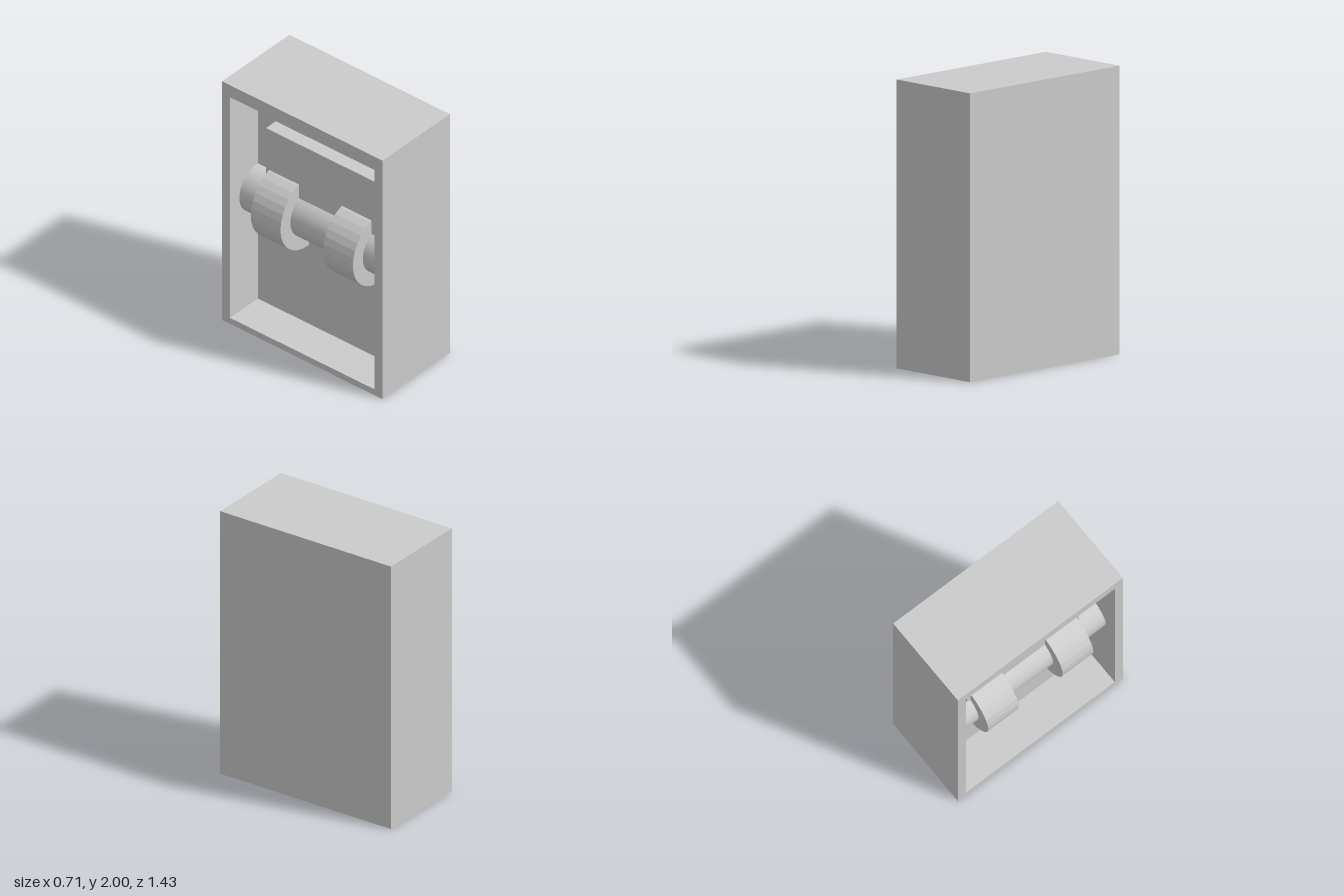
import * as THREE from 'three';

export function createModel() {
  const model = new THREE.Group();
  const smooth = new THREE.MeshStandardMaterial({ color: 0xcccccc });
  const faceted = new THREE.MeshStandardMaterial({ color: 0xcccccc, flatShading: true });

  const add = (name, geometry, x, y, z, material = smooth) => {
    const mesh = new THREE.Mesh(geometry, material);
    mesh.name = name;
    mesh.position.set(x, y, z);
    model.add(mesh);
    return mesh;
  };

  const halfX = 0.355, halfZ = 0.715, height = 2;
  const wallX = -0.06;      // inner wall of the recess
  const openZ = 0.645;      // half width of the opening
  const axisX = -0.07, axisY = 1;

  // Solid half of the housing behind the recess
  add('housingBack', new THREE.BoxGeometry(halfX - wallX, height, halfZ * 2),
    (halfX + wallX) / 2, height / 2, 0);

  // Frame around the recess, open towards -x
  const rectangle = (Type, w, y0, y1) => new Type([
    new THREE.Vector2(-w, y0), new THREE.Vector2(w, y0),
    new THREE.Vector2(w, y1), new THREE.Vector2(-w, y1),
  ]);
  const outline = rectangle(THREE.Shape, halfZ, 0, height);
  outline.holes.push(rectangle(THREE.Path, openZ, 0.05, 1.9));
  const frame = new THREE.ExtrudeGeometry(outline, { depth: halfX + wallX, bevelEnabled: false });
  frame.rotateY(-Math.PI / 2);
  add('housingFrame', frame, wallX, 0, 0);

  // Shaft across the recess, half sunk into the inner wall
  const rod = (radius, length, sides) =>
    new THREE.CylinderGeometry(radius, radius, length, sides).rotateX(Math.PI / 2);
  add('shaft', rod(0.185, openZ * 2, 48), axisX, axisY, 0);

  // Pair of thick collars on the shaft
  for (const side of [-1, 1]) {
    add(side > 0 ? 'frontCollar' : 'backCollar', rod(0.29, 0.265, 32),
      axisX, axisY, side * 0.3225, faceted);
  }

  // Flat plate rising from the shaft against the inner wall
  add('plate', new THREE.BoxGeometry(0.104, 0.61, 0.97), wallX - 0.052, 1.305, 0);

  return model;
}
